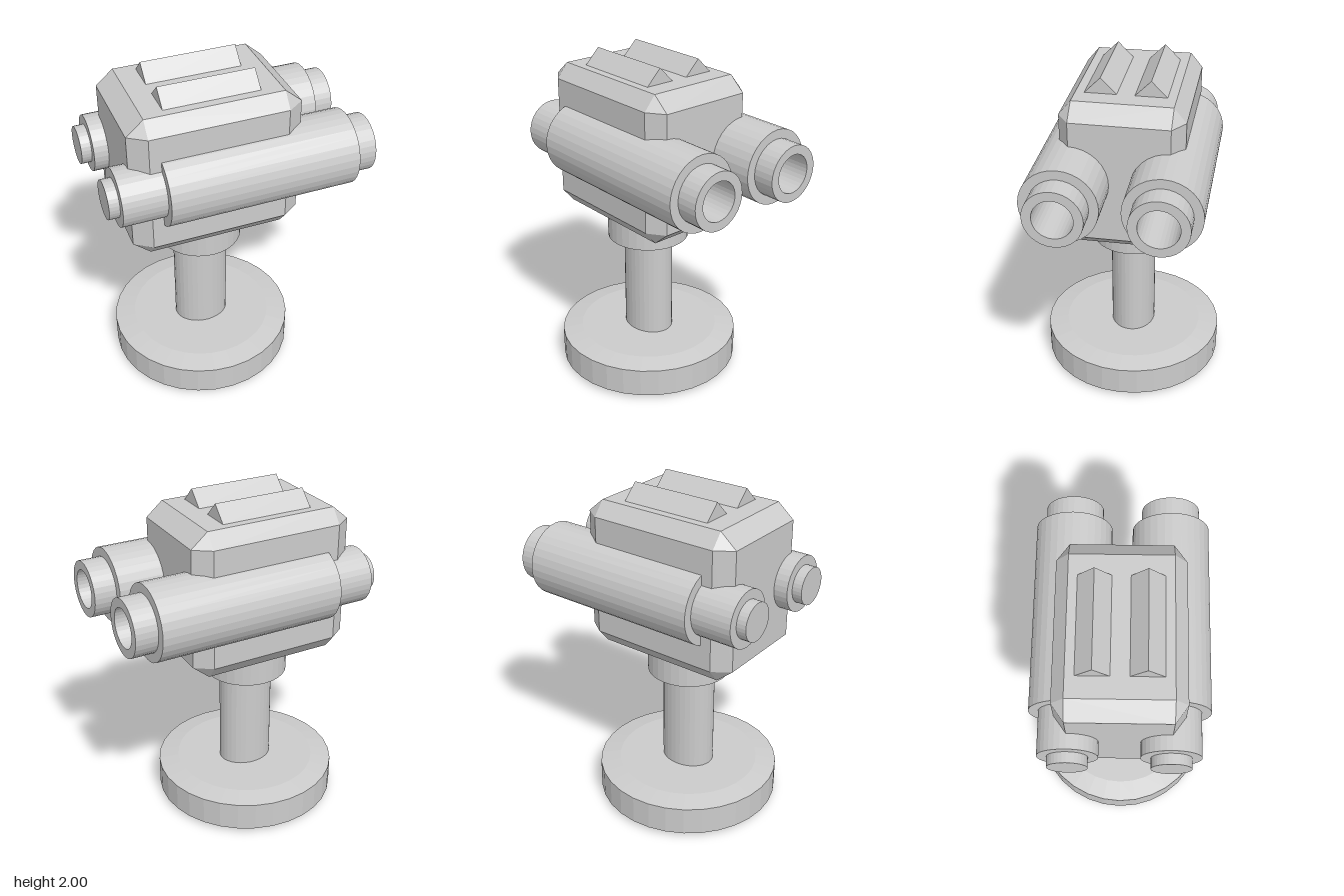
import * as THREE from 'three';
import { ConvexGeometry } from 'three/addons/geometries/ConvexGeometry.js';

const CX = -0.135; // axis of the stand and the body

export function createModel() {
  const group = new THREE.Group();
  group.name = 'twinBarrelTurret';
  const material = new THREE.MeshStandardMaterial({ color: 0xcccccc, flatShading: true });

  const add = (name, geometry, x = 0, y = 0, z = 0) => {
    const mesh = new THREE.Mesh(geometry, material);
    mesh.name = name;
    mesh.position.set(x, y, z);
    group.add(mesh);
    return mesh;
  };
  // Profile given as [radius, height], bottom to top along the outside
  const lathe = (profile, sides) =>
    new THREE.LatheGeometry(profile.map(([r, h]) => new THREE.Vector2(r, h)), sides);

  // Stand: bevelled disc, oval column, collar under the body
  add('base', lathe([[0, 0], [0.43, 0], [0.553, 0.025], [0.553, 0.2], [0.43, 0.222], [0, 0.222]], 32), CX);
  const column = add('column', new THREE.CylinderGeometry(1, 1, 0.7, 32), CX, 0.55);
  column.scale.set(0.166, 1, 0.136);
  add('collar', lathe([[0, 0.835], [0.2, 0.835], [0.248, 0.858], [0.248, 1.05], [0, 1.05]], 32), CX);

  // Body: box with every edge and corner chamfered
  const half = [0.4975, 0.44, 0.35];
  const inset = [0.1, 0.085, 0.07];
  const corners = [];
  for (const sx of [-1, 1]) for (const sy of [-1, 1]) for (const sz of [-1, 1]) {
    const s = [sx, sy, sz];
    for (let axis = 0; axis < 3; axis++) {
      corners.push(new THREE.Vector3(...s.map((v, i) => v * (half[i] - (i === axis ? 0 : inset[i])))));
    }
  }
  add('body', new ConvexGeometry(corners), -0.1325, 1.47, 0);

  // Triangular ridges on the roof
  const triangle = new THREE.Shape([[-0.09, 0], [0.09, 0], [0, 0.09]].map(([x, y]) => new THREE.Vector2(x, y)));
  const ridge = new THREE.ExtrudeGeometry(triangle, { depth: 0.555, bevelEnabled: false }).rotateY(Math.PI / 2);

  // Barrel: rear plug, breech, thick sleeve and hollow muzzle
  const barrel = lathe([
    [0, -0.773], [0.111, -0.773], [0.111, -0.714], [0.166, -0.714], [0.166, -0.465],
    [0.22, -0.465], [0.22, 0.64], [0.166, 0.64], [0.166, 0.77],
    [0.113, 0.77], [0.113, 0.3], [0, 0.3],
  ], 32).rotateZ(-Math.PI / 2);

  for (const [side, s] of [['front', 1], ['back', -1]]) {
    add(side + 'Ridge', ridge, -0.41, 1.91, 0.14 * s);
    add(side + 'Barrel', barrel, 0, 1.465, 0.278 * s);
  }
  return group;
}
